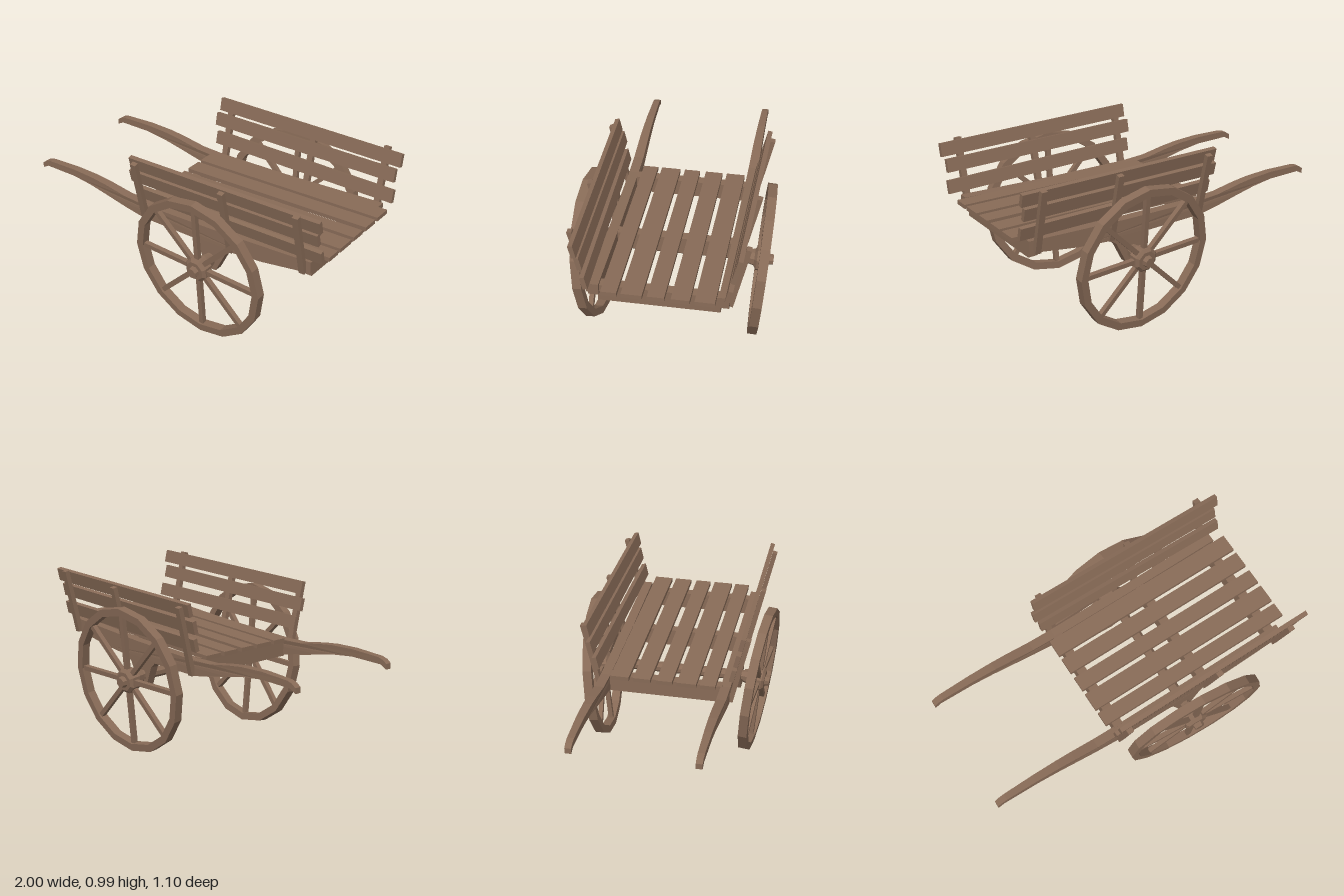
import * as THREE from 'three';

const wood = new THREE.MeshStandardMaterial({ color: 0x886b57 });
wood.name = 'brown wood';

// Adds a flat-faceted mesh to a parent
function add(parent, name, geometry, x = 0, y = 0, z = 0) {
  const geo = geometry.index ? geometry.toNonIndexed() : geometry;
  geo.computeVertexNormals();
  const mesh = new THREE.Mesh(geo, wood);
  mesh.name = name;
  mesh.position.set(x, y, z);
  parent.add(mesh);
  return mesh;
}

const box = (w, h, d) => new THREE.BoxGeometry(w, h, d);

function subgroup(parent, name, x = 0, y = 0, z = 0) {
  const g = new THREE.Group();
  g.name = name;
  g.position.set(x, y, z);
  parent.add(g);
  return g;
}

// Side outline extruded symmetrically about z = 0
function slab(points, depth) {
  const shape = new THREE.Shape(points.map(([x, y]) => new THREE.Vector2(x, y)));
  return new THREE.ExtrudeGeometry(shape, { depth, bevelEnabled: false }).translate(0, 0, -depth / 2);
}

// Ring or solid turned around the z axis
function turned(points, sides, start = 0) {
  const profile = points.map(([r, h]) => new THREE.Vector2(r, h));
  return new THREE.LatheGeometry(profile, sides, start).rotateX(Math.PI / 2);
}

// Long side beam that curves into a pull handle
function shaftGeometry() {
  const geo = slab([
    [-1, 0.61], [-0.96, 0.632], [-0.75, 0.635], [-0.62, 0.62], [-0.5, 0.597], [-0.35, 0.565], [-0.22, 0.542],
    [0.38, 0.54], [0.6, 0.56], [0.91, 0.61], [0.91, 0.678], [0.3, 0.645], [-0.2, 0.63],
    [-0.35, 0.635], [-0.5, 0.66], [-0.6, 0.672], [-0.75, 0.678], [-0.94, 0.67], [-0.975, 0.66], [-1, 0.642],
  ], 0.056);
  const p = geo.attributes.position;
  for (let i = 0; i < p.count; i++) {
    const t = THREE.MathUtils.clamp((p.getX(i) + 1) / 0.6, 0, 1);
    p.setZ(i, p.getZ(i) * (0.65 + 0.35 * t));
  }
  return geo;
}

// Wheel with its outer face toward +z
function buildWheel(parent) {
  const h = 0.026;
  add(parent, 'rim', turned([[0.392, -h], [0.436, -h], [0.436, h], [0.392, h], [0.392, -h]], 16));
  add(parent, 'hub', turned([
    [0, -0.095], [0.038, -0.095], [0.05, -0.045], [0.076, -0.03], [0.076, 0.022],
    [0.058, 0.036], [0.034, 0.036], [0.03, 0.064], [0, 0.064],
  ], 8, Math.PI / 8));
  for (let i = 0; i < 8; i++) {
    const spoke = subgroup(parent, 'spoke');
    spoke.rotation.z = (i * Math.PI) / 4;
    add(spoke, 'spokeBar', box(0.028, 0.345, 0.028), 0, 0.2275, 0);
  }
}

// Leaning rack: three boards on three posts; s is the side (+1 or -1)
function buildRack(parent, s) {
  const lean = 0.228;
  const rack = subgroup(parent, s > 0 ? 'frontRack' : 'backRack', 0, 0.55, s * 0.378);
  rack.rotation.set(s * lean, s * 0.012, 0);
  for (const [x, bottom, top] of [[-0.2, 0.545, 0.945], [0.39, 0.545, 0.96], [0.865, 0.6, 0.985]]) {
    const len = (top - bottom) / Math.cos(lean);
    const mid = ((top + bottom) / 2 - 0.55) / Math.cos(lean);
    add(rack, 'rackPost', box(0.036, len, 0.028), x, mid, 0);
  }
  const shift = s > 0 ? 0 : -0.015;
  for (const [x, y, w, tilt] of [[0.375, 0.932, 1.24, 0.013], [0.355, 0.838, 1.235, 0.015], [0.372, 0.725, 1.225, 0.008]]) {
    const board = add(rack, 'rackBoard', box(w, 0.076, 0.026), x + shift, (y - 0.55) / Math.cos(lean), -s * 0.028);
    board.rotation.z = tilt;
  }
}

export function createModel() {
  const cart = new THREE.Group();
  cart.name = 'handcart';

  // Deck planks, rising slightly toward the rear
  for (const [z0, z1] of [[-0.31, -0.203], [-0.178, -0.078], [-0.043, 0.048], [0.075, 0.187], [0.21, 0.296]]) {
    const plank = add(cart, 'deckPlank', box(1.22, 0.024, z1 - z0), 0.365, 0.658, (z0 + z1) / 2);
    plank.rotation.z = 0.032;
  }

  // Cross beams under the deck
  for (const [x, y] of [[-0.18, 0.582], [0.385, 0.598], [0.862, 0.61]]) {
    add(cart, 'crossBeam', box(0.056, 0.1, 0.66), x, y, 0);
  }

  // Axle
  add(cart, 'axle', turned([[0, -0.42], [0.031, -0.42], [0.031, 0.42], [0, 0.42]], 8, Math.PI / 8), 0.25, 0.45, 0);

  // Everything paired on the two sides
  const bracket = [[0.22, 0.38], [0.29, 0.38], [0.33, 0.46], [0.355, 0.51], [0.4, 0.545], [0.13, 0.545], [0.17, 0.51], [0.19, 0.46]];
  for (const s of [1, -1]) {
    add(cart, 'shaft', shaftGeometry(), 0, 0, s * 0.349);
    add(cart, 'axleBracket', slab(bracket, 0.05), 0, 0, s * 0.349);
    buildRack(cart, s);

    // Wheels lean outward at the top
    const wheel = subgroup(cart, s > 0 ? 'frontWheel' : 'backWheel', 0.25, 0.438, s * 0.48);
    wheel.rotation.set(s * 0.092, -s * 0.05, 0);
    const facing = subgroup(wheel, 'wheelParts');
    facing.rotation.y = s > 0 ? 0 : Math.PI;
    buildWheel(facing);
  }
  return cart;
}
